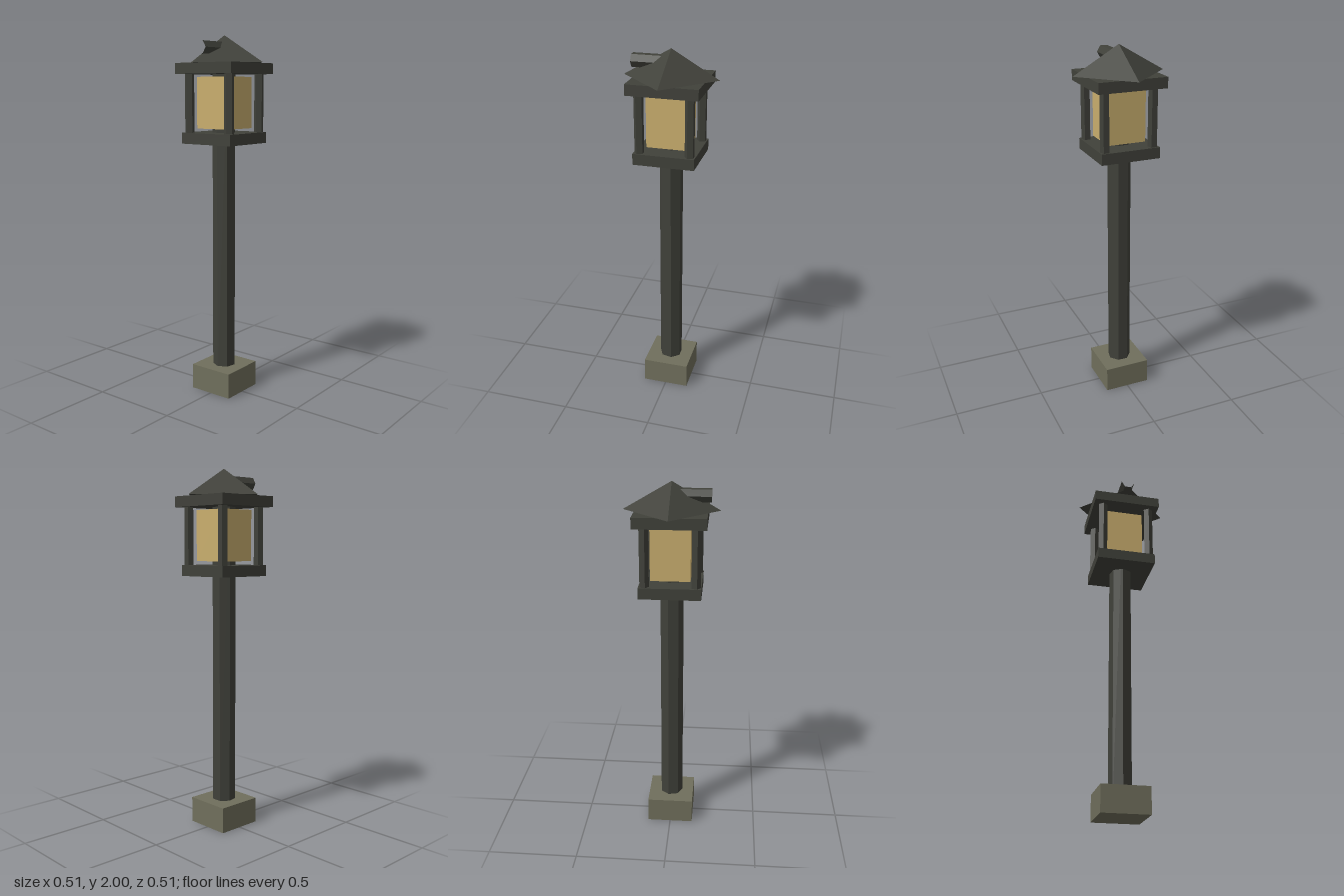
import * as THREE from 'three';

export function createModel() {
  const model = new THREE.Group();
  model.name = 'lampPost';

  const material = (name, color) => {
    const m = new THREE.MeshStandardMaterial({ color, flatShading: true });
    m.name = name;
    return m;
  };
  const iron = material('darkIron', 0x40413a);
  const stone = material('stone', 0x706f5c);
  const glow = material('warmGlass', 0xc9ae6e);

  const add = (name, geometry, mat, x, y, z) => {
    const mesh = new THREE.Mesh(geometry, mat);
    mesh.name = name;
    mesh.position.set(x, y, z);
    model.add(mesh);
    return mesh;
  };
  // Square slab between two heights
  const slab = (name, half, y0, y1, mat) =>
    add(name, new THREE.BoxGeometry(half * 2, y1 - y0, half * 2), mat, 0, (y0 + y1) / 2, 0);
  // Upright faceted column between two heights
  const column = (name, radius, sides, x, z, y0, y1) =>
    add(name, new THREE.CylinderGeometry(radius, radius, y1 - y0, sides), iron, x, (y0 + y1) / 2, z);

  // Footing and seven-sided pole, which runs up through the lantern
  slab('footing', 0.13, 0, 0.143, stone);
  column('pole', 0.065, 7, 0, 0, 0.02, 1.82);

  // Lantern
  slab('lanternTray', 0.165, 1.42, 1.48, iron);
  slab('lampGlass', 0.106, 1.502, 1.78, glow);
  slab('lanternTop', 0.19, 1.795, 1.853, iron);
  for (const x of [-0.135, 0.135]) {
    for (const z of [-0.135, 0.135]) column('cornerPost', 0.0265, 5, x, z, 1.46, 1.81);
  }

  // Pyramid roof, turned diagonally to the lantern
  add('roof', new THREE.ConeGeometry(0.254, 0.147, 4), iron, 0, 1.9265, 0);

  // Open six-sided vent pipe pointing forward out of the roof
  const pipe = new THREE.CylinderGeometry(0.038, 0.038, 0.207, 6, 1, true);
  pipe.rotateY(Math.PI / 6).rotateX(Math.PI / 2);
  add('ventPipe', pipe, iron, 0, 1.93, 0.1035);

  return model;
}
